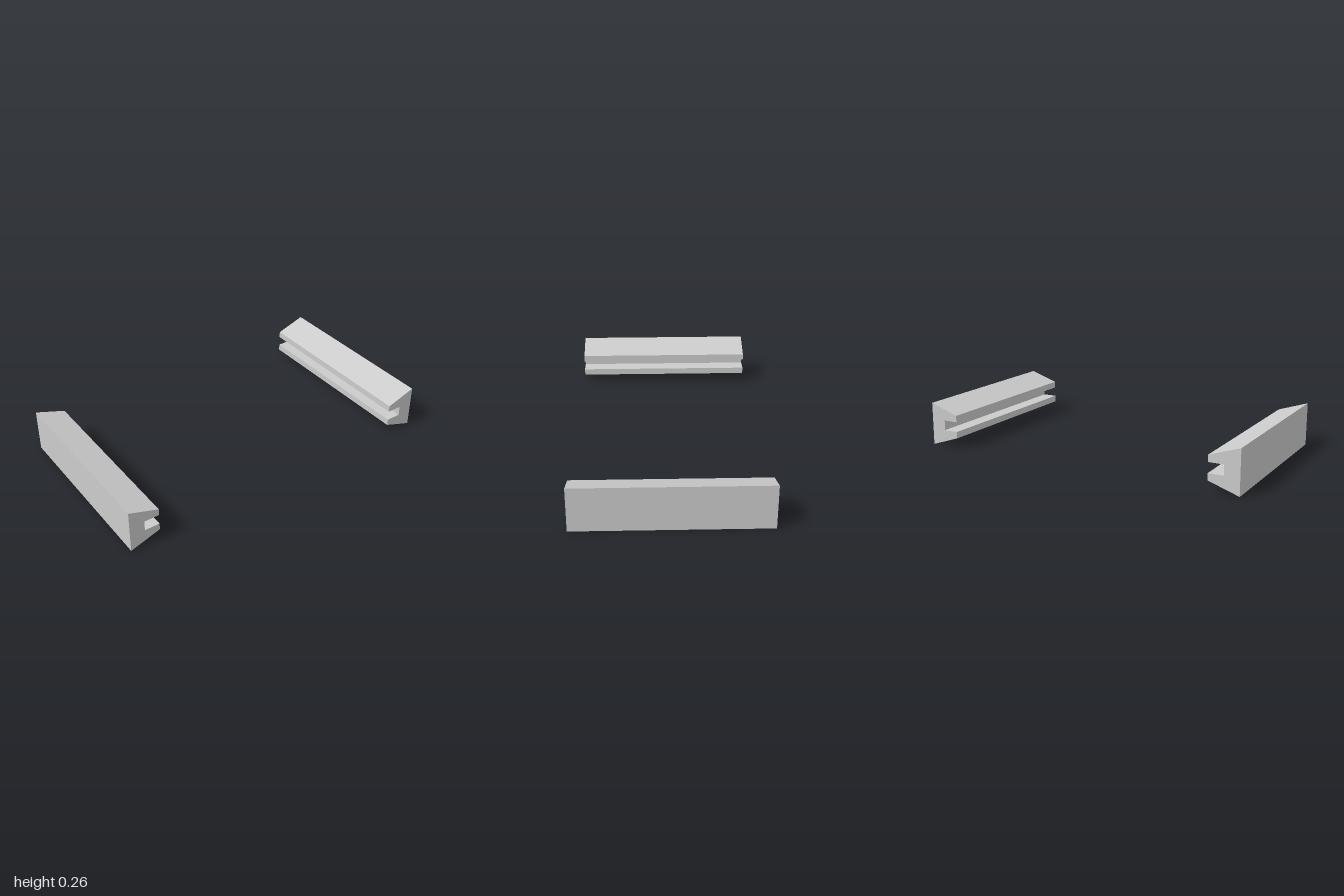
import * as THREE from 'three';

const LENGTH = 1.09;

// Tapered rail section with a square groove open toward the centre
function railGeometry() {
  const section = new THREE.Shape([
    [1, 0], [1, 0.26], [0.82, 0.2], [0.82, 0.16],
    [0.91, 0.16], [0.91, 0.1], [0.82, 0.1], [0.82, 0.06],
  ].map(([x, y]) => new THREE.Vector2(x, y)));
  const geometry = new THREE.ExtrudeGeometry(section, { depth: LENGTH, bevelEnabled: false });
  return geometry.translate(0, 0, -LENGTH / 2);
}

export function createModel() {
  const model = new THREE.Group();
  model.name = 'groovedRails';
  const material = new THREE.MeshStandardMaterial({ color: 0xcccccc, flatShading: true });
  const geometry = railGeometry();

  // Half a turn about y places the matching rail on the other side
  [['leftRail', 0], ['rightRail', Math.PI]].forEach(([name, turn]) => {
    const rail = new THREE.Mesh(geometry, material);
    rail.name = name;
    rail.rotation.y = turn;
    model.add(rail);
  });
  return model;
}
